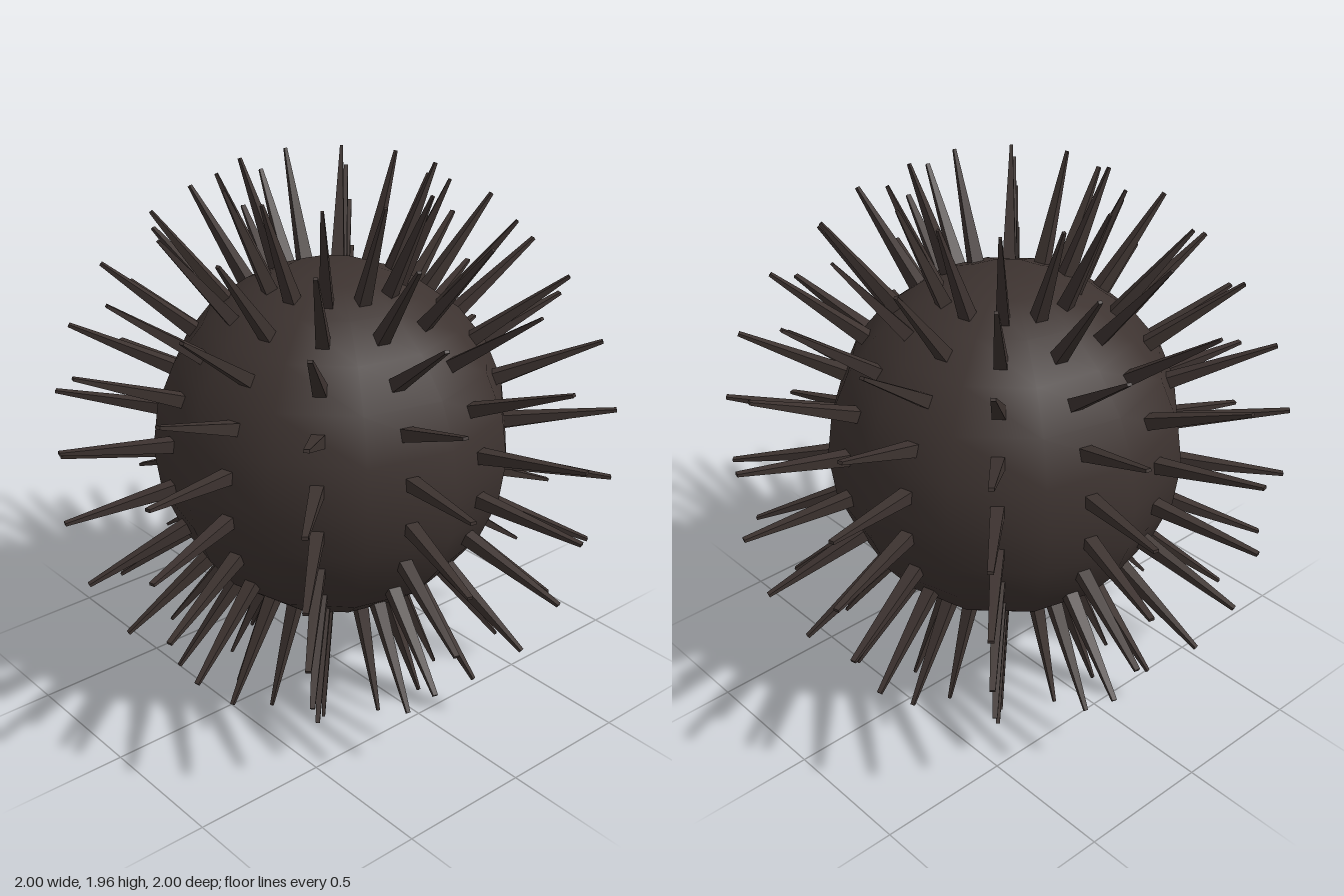
import * as THREE from 'three';

const R = 0.66, CENTRE_Y = 0.98, STEP = Math.PI / 12;

// Tapered four-sided spine along +y; x runs around the body, z along the meridian
function spineGeometry(length, base, tipX, tipZ) {
  const sink = 0.02;
  const geo = new THREE.BoxGeometry(1, length + sink, 1);
  geo.translate(0, (length - sink) / 2, 0);
  const p = geo.attributes.position;
  for (let i = 0; i < p.count; i++) {
    const tip = p.getY(i) > length / 2;
    p.setX(i, p.getX(i) * (tip ? tipX : base));
    p.setZ(i, p.getZ(i) * (tip ? tipZ : base));
  }
  geo.computeVertexNormals();
  return geo;
}

export function createModel() {
  const group = new THREE.Group();
  const smooth = new THREE.MeshStandardMaterial({ color: 0x3d3330 });
  const flat = new THREE.MeshStandardMaterial({ color: 0x3d3330, flatShading: true });

  // Twelve-sided ball with its poles pressed flat
  const ball = new THREE.SphereGeometry(R, 12, 12);
  const p = ball.attributes.position;
  const cap = R * Math.cos(STEP);
  for (let i = 0; i < p.count; i++) p.setY(i, THREE.MathUtils.clamp(p.getY(i), -cap, cap));
  const body = new THREE.Mesh(ball, smooth);
  body.name = 'body';
  body.position.y = CENTRE_Y;
  group.add(body);

  // One spine in the middle of each body facet, ten rows of twelve
  const spines = new THREE.Group();
  spines.name = 'spines';
  spines.position.y = CENTRE_Y;
  const facetR = R * Math.cos(STEP / 2), squash = Math.cos(STEP);
  for (let row = -5; row < 5; row++) {
    const lat = (row + 0.5) * STEP;
    const geo = spineGeometry(0.407, 0.048, 0.004 + 0.017 * Math.cos(lat), 0.011);
    const tilt = Math.atan(Math.tan(lat) * squash);
    for (let k = 0; k < 12; k++) {
      const az = (2 * k + 1) * STEP;
      const c = Math.cos(az), s = Math.sin(az);
      const out = new THREE.Vector3(c * Math.cos(tilt), Math.sin(tilt), s * Math.cos(tilt));
      const around = new THREE.Vector3(-s, 0, c);
      const along = new THREE.Vector3().crossVectors(around, out);
      const spine = new THREE.Mesh(geo, flat);
      spine.name = 'spine';
      spine.quaternion.setFromRotationMatrix(new THREE.Matrix4().makeBasis(around, out, along));
      const r = facetR * squash * Math.cos(lat);
      spine.position.set(c * r, facetR * Math.sin(lat), s * r);
      spines.add(spine);
    }
  }
  group.add(spines);
  return group;
}
